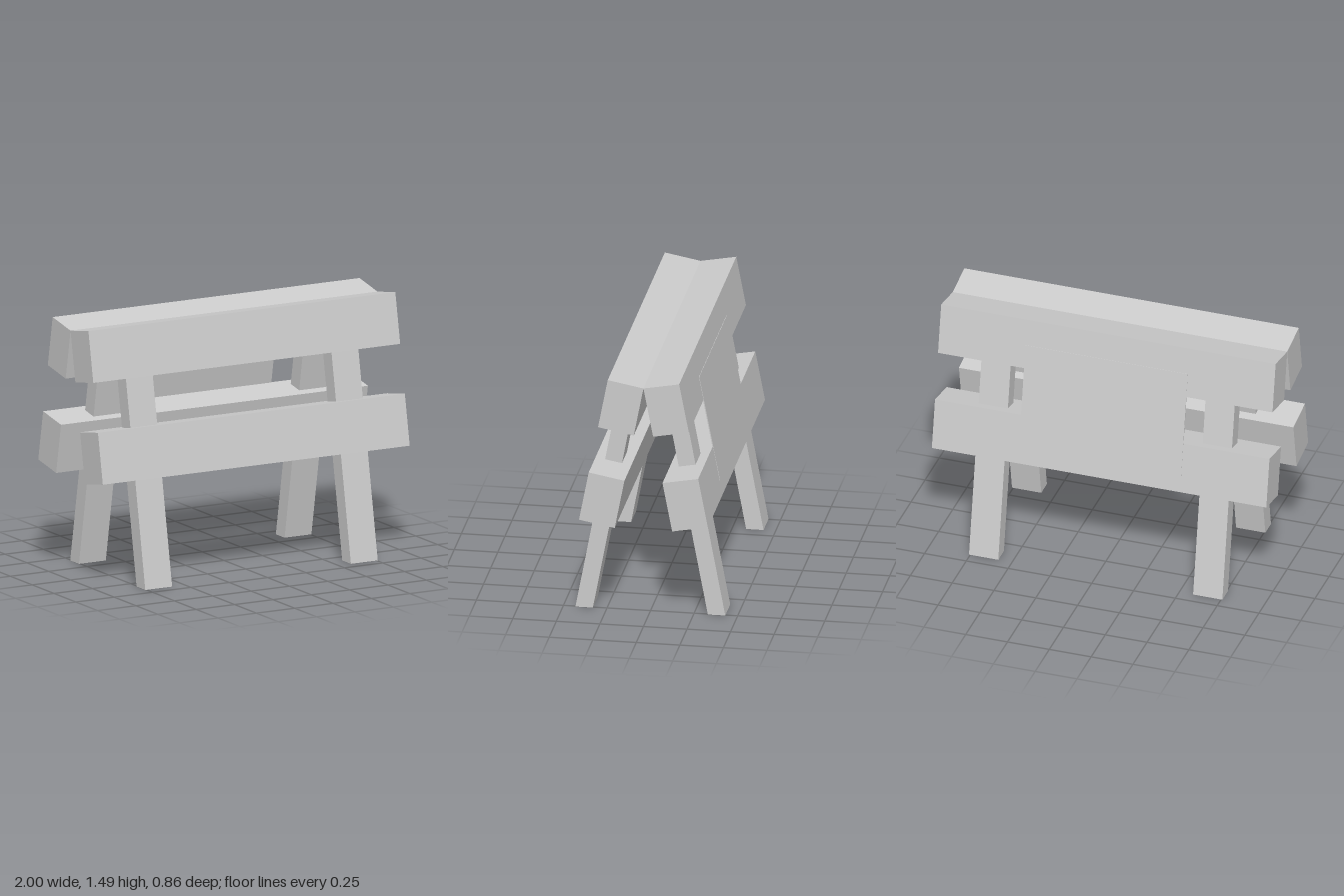
import * as THREE from 'three';

const material = new THREE.MeshStandardMaterial({ color: 0xcccccc, flatShading: true });
const SLOPE = 0.1918; // outward lean of each side per unit of height

// z of the sloping outer face at height y
const outerZ = (y) => 0.205 + (1.487 - y) * SLOPE;

// Extrude a side profile of [z, y] points along x; side = 1 front, -1 back
function bar(name, profile, side, width, x = 0) {
  const shape = new THREE.Shape(profile.map(([z, y]) => new THREE.Vector2(z * side, y)));
  const geometry = new THREE.ExtrudeGeometry(shape, { depth: width, bevelEnabled: false });
  geometry.translate(0, 0, -width / 2);
  geometry.rotateY(-Math.PI / 2);
  const mesh = new THREE.Mesh(geometry, material);
  mesh.name = name;
  mesh.position.x = x;
  return mesh;
}

// Thick board square to the slope, between two heights of its outer face
const plankProfile = (top, bottom) => [
  [outerZ(top), top],
  [outerZ(top) - 0.205, top - 0.038],
  [outerZ(bottom) - 0.205, bottom - 0.038],
  [outerZ(bottom), bottom],
];

export function createModel() {
  const group = new THREE.Group();
  group.name = 'trestleBarrier';

  // Leg with a level foot, ending inside the upper plank
  const legProfile = [[0.43, 0], [0.33, 0], [0.086, 1.3], [0.186, 1.3]];

  for (const side of [1, -1]) {
    const frame = new THREE.Group();
    frame.name = side > 0 ? 'frontFrame' : 'backFrame';
    frame.add(bar('upperPlank', plankProfile(1.487, 1.197), side, 2));
    frame.add(bar('lowerPlank', plankProfile(0.918, 0.627), side, 2));
    for (const x of [0.67, -0.67]) {
      frame.add(bar(x > 0 ? 'leftLeg' : 'rightLeg', legProfile, side, 0.175, x));
    }
    group.add(frame);
  }

  // Thin sign panel lying on the outer faces of the back planks
  const top = 1.335, bottom = 0.71, proud = 0.002, inner = -0.004;
  const panelProfile = [
    [outerZ(top) + proud, top],
    [outerZ(top) + inner, top],
    [outerZ(bottom) + inner, bottom],
    [outerZ(bottom) + proud, bottom],
  ];
  group.add(bar('backPanel', panelProfile, -1, 0.97));

  return group;
}
